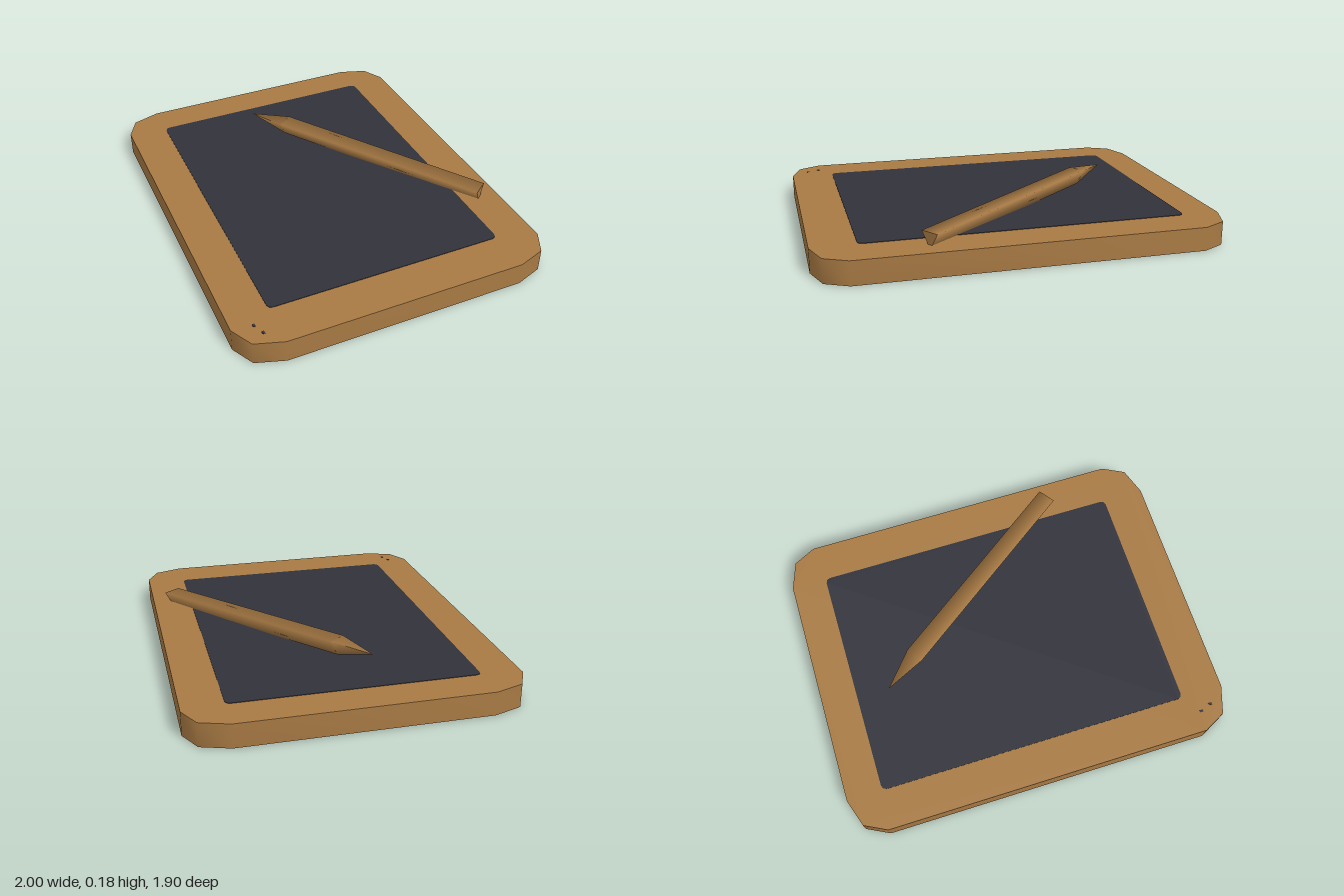
import * as THREE from 'three';
import { toCreasedNormals } from 'three/addons/utils/BufferGeometryUtils.js';

// Rectangle outline with elliptical corners made of two straight segments each
function roundedOutline(hx, hy, rx, ry) {
  const points = [];
  for (let q = 0; q < 4; q++) {
    const sx = q === 0 || q === 3 ? 1 : -1;
    const sy = q < 2 ? 1 : -1;
    for (let i = 0; i < 3; i++) {
      const a = q * Math.PI / 2 + i * Math.PI / 4;
      points.push(new THREE.Vector2(
        sx * (hx - rx) + rx * Math.cos(a),
        sy * (hy - ry) + ry * Math.sin(a)));
    }
  }
  return new THREE.Shape(points);
}

// Upright slab between two heights
function slab(name, shape, bottom, top, material) {
  const geometry = new THREE.ExtrudeGeometry(shape, { depth: top - bottom, bevelEnabled: false });
  geometry.rotateX(Math.PI / 2).translate(0, top, 0);
  const mesh = new THREE.Mesh(toCreasedNormals(geometry, 0.85), material);
  mesh.name = name;
  return mesh;
}

export function createModel() {
  const wood = new THREE.MeshStandardMaterial({ color: 0xa87a44 });
  wood.name = 'warm wood';
  const slate = new THREE.MeshStandardMaterial({ color: 0x32323b });
  slate.name = 'dark slate';

  const model = new THREE.Group();
  model.name = 'writingTablet';

  // Tablet, turned on the table
  const tablet = new THREE.Group();
  tablet.name = 'tablet';
  tablet.rotation.y = -THREE.MathUtils.degToRad(33);
  model.add(tablet);
  tablet.add(slab('woodenFrame', roundedOutline(0.833, 0.665, 0.133, 0.165), 0.002, 0.1, wood));

  // Dark writing panels on both faces
  const panel = roundedOutline(0.667, 0.5, 0.02, 0.02);
  const panels = [['topPanel', 0.0995, 0.102], ['bottomPanel', 0, 0.0025]];
  for (const [name, bottom, top] of panels) {
    const mesh = slab(name, panel, bottom, top, slate);
    mesh.position.x = -0.015;
    tablet.add(mesh);
  }

  // Two tiny nicks on a frame corner
  for (const [x, z] of [[0.71, 0.579], [0.757, 0.56]]) {
    const nick = new THREE.Mesh(new THREE.BoxGeometry(0.014, 0.002, 0.01), slate);
    nick.name = 'cornerNick';
    nick.position.set(x, 0.1005, z);
    tablet.add(nick);
  }

  // Three-sided stylus, flat side up, lying with its blunt end sunk into the frame
  const tip = new THREE.Vector3(-0.51, 0.166, -0.207);
  const butt = new THREE.Vector3(0.645, 0.127, -0.272);
  const length = tip.distanceTo(butt);
  const pointLength = 0.18;
  const radius = 0.046;
  const stylus = new THREE.Group();
  stylus.name = 'stylus';
  stylus.position.copy(tip);
  stylus.lookAt(butt);
  model.add(stylus);

  const shaftLength = length - pointLength;
  const shaft = new THREE.Mesh(
    new THREE.CylinderGeometry(radius, radius, shaftLength, 3).rotateX(Math.PI / 2), wood);
  shaft.name = 'stylusShaft';
  shaft.position.z = pointLength + shaftLength / 2;
  const point = new THREE.Mesh(
    new THREE.CylinderGeometry(radius, 0, pointLength, 3, 1, true).rotateX(Math.PI / 2), wood);
  point.name = 'stylusPoint';
  point.position.z = pointLength / 2;
  stylus.add(shaft, point);

  return model;
}
